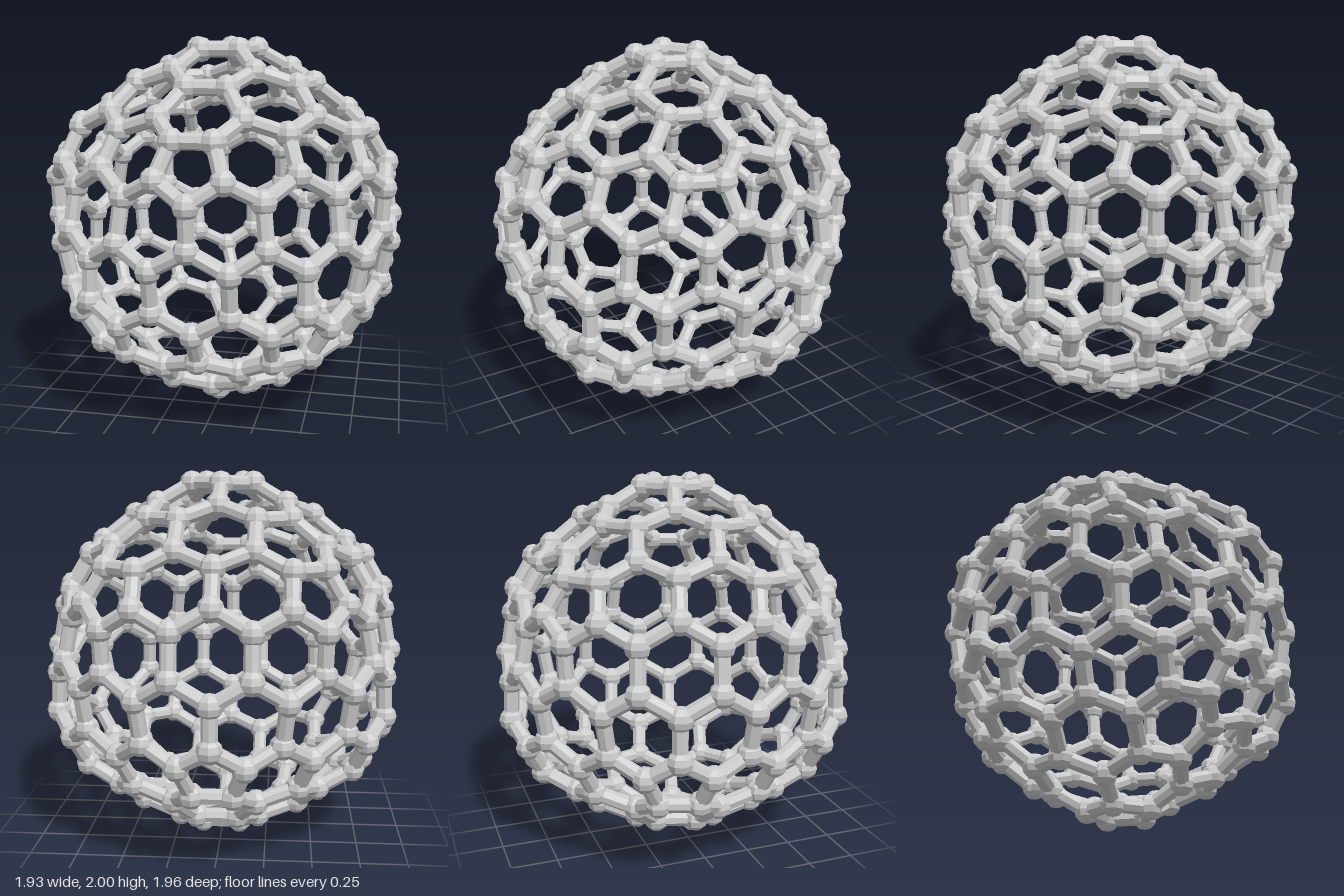
import * as THREE from 'three';

const TIP_RADIUS = 0.952;  // joints around the twelve pentagons
const FACE_RADIUS = 0.907; // joints of the hexagons in between
const BALL = 0.066;
const ROD = 0.041;

// Twelve icosahedron corners: two poles and two staggered rings of five
function icosahedronCorners() {
  const corners = [new THREE.Vector3(0, 1, 0), new THREE.Vector3(0, -1, 0)];
  const y = 1 / Math.sqrt(5), r = 2 * y;
  for (let k = 0; k < 5; k++) {
    for (const [offset, s] of [[0, 1], [0.5, -1]]) {
      const a = (k + offset) * Math.PI * 2 / 5;
      corners.push(new THREE.Vector3(r * Math.sin(a), s * y, r * Math.cos(a)));
    }
  }
  return corners;
}

// Nine joints on each triangular face, pushed out to their radius
function cageJoints() {
  const c = icosahedronCorners(), joints = [];
  const near = (i, j) => c[i].distanceTo(c[j]) < 1.1;
  const add = (p, q, r, [u, v, w], radius) => joints.push(
    new THREE.Vector3().addScaledVector(p, u).addScaledVector(q, v)
      .addScaledVector(r, w).setLength(radius));
  for (let i = 0; i < 12; i++) for (let j = i + 1; j < 12; j++) for (let k = j + 1; k < 12; k++) {
    if (!near(i, j) || !near(j, k) || !near(i, k)) continue;
    const f = [c[i], c[j], c[k]];
    for (let n = 0; n < 3; n++) {
      const p = f[n], q = f[(n + 1) % 3], r = f[(n + 2) % 3];
      add(p, q, r, [7, 1, 1], TIP_RADIUS);
      add(p, q, r, [5, 2, 2], FACE_RADIUS);
      add(p, q, r, [1, 4, 4], FACE_RADIUS);
    }
  }
  return joints;
}

export function createModel() {
  const model = new THREE.Group();
  model.name = 'sphericalCage';
  const material = new THREE.MeshStandardMaterial({ color: 0xcccccc, flatShading: true });
  const joints = cageJoints();

  // Ball at every joint, all with upright poles
  const balls = new THREE.Group();
  balls.name = 'jointBalls';
  const ballGeometry = new THREE.SphereGeometry(BALL, 8, 6);
  for (const p of joints) {
    const ball = new THREE.Mesh(ballGeometry, material);
    ball.name = 'jointBall';
    ball.position.copy(p);
    balls.add(ball);
  }

  // Rod between every pair of neighbouring joints
  const rods = new THREE.Group();
  rods.name = 'connectingRods';
  const rodGeometry = new THREE.CylinderGeometry(ROD, ROD, 1, 8, 1, true);
  const up = new THREE.Vector3(0, 1, 0);
  joints.forEach((a, i) => {
    for (const b of joints.slice(i + 1)) {
      const length = a.distanceTo(b);
      if (length > 0.28) continue;
      const rod = new THREE.Mesh(rodGeometry, material);
      rod.name = 'connectingRod';
      rod.position.lerpVectors(a, b, 0.5);
      rod.quaternion.setFromUnitVectors(up, b.clone().sub(a).normalize());
      rod.scale.y = length;
      rods.add(rod);
    }
  });

  balls.position.y = rods.position.y = 1;
  model.add(balls, rods);
  return model;
}
